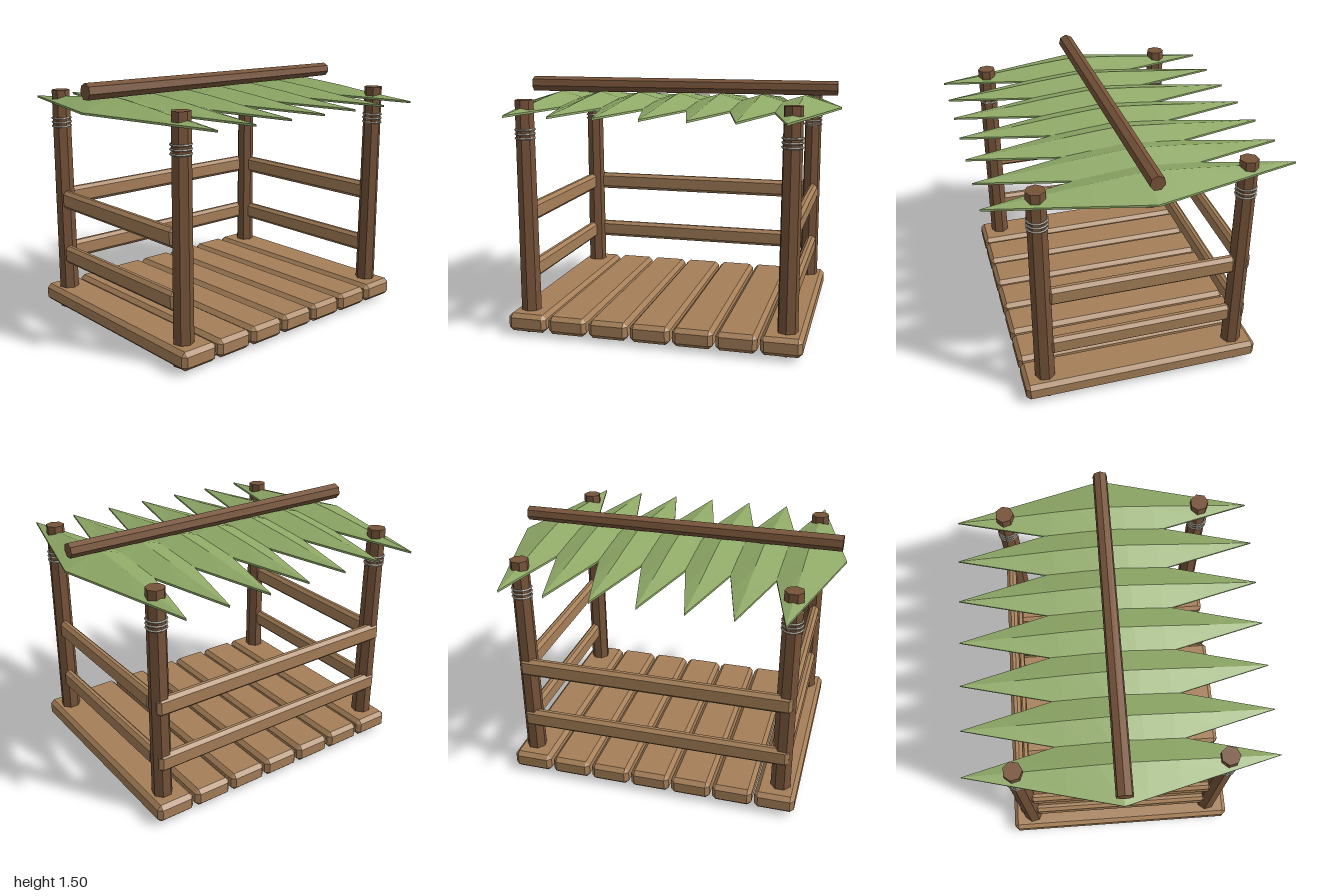
import * as THREE from 'three';
import { ConvexGeometry } from 'three/addons/geometries/ConvexGeometry.js';

const mat = (name, color) => {
  const m = new THREE.MeshStandardMaterial({ color, flatShading: true });
  m.name = name;
  return m;
};

// Box with every edge cut at 45 degrees
function chamferBox(w, h, d, b) {
  const pts = [];
  for (const x of [-w / 2, w / 2]) for (const y of [-h / 2, h / 2]) for (const z of [-d / 2, d / 2]) {
    const sx = Math.sign(x) * b, sy = Math.sign(y) * b, sz = Math.sign(z) * b;
    pts.push(new THREE.Vector3(x, y - sy, z - sz));
    pts.push(new THREE.Vector3(x - sx, y, z - sz));
    pts.push(new THREE.Vector3(x - sx, y - sy, z));
  }
  return new ConvexGeometry(pts);
}

// Creased, drooping diamond leaf with a thin closed body
function leafGeometry() {
  const half = [[0, 1.412], [0.15, 1.403], [0.35, 1.388], [0.65, 1.36], [1, 1.335]];
  const stations = [...half.slice(1).reverse().map(([t, y]) => [-t, y]), ...half];
  const thick = 0.012, pos = [], idx = [];
  // Each cross-section: top left, top crease, top right, bottom right, bottom crease, bottom left
  for (const [t, crease] of stations) {
    const a = Math.abs(t), w = 0.22 * (1 - a) + 0.0005, z = 0.87 * t;
    const edge = 1.345 - 0.01 * a;
    pos.push(-w, edge, z, 0, crease, z, w, edge, z);
    pos.push(w, edge - thick, z, 0, crease - thick, z, -w, edge - thick, z);
  }
  for (let i = 0; i < stations.length - 1; i++) for (let j = 0; j < 6; j++) {
    const a = i * 6 + j, b = i * 6 + (j + 1) % 6;
    idx.push(a, a + 6, b, b, a + 6, b + 6);
  }
  const g = new THREE.BufferGeometry();
  g.setAttribute('position', new THREE.Float32BufferAttribute(pos, 3));
  g.setIndex(idx);
  const flat = g.toNonIndexed();
  flat.computeVertexNormals();
  return flat;
}

export function createModel() {
  const model = new THREE.Group();
  model.name = 'shelter';
  const plankWood = mat('plankWood', 0xa57f58);
  const logWood = mat('logWood', 0x77543a);
  const leafGreen = mat('leafGreen', 0x8fa967);
  const ropeGrey = mat('ropeGrey', 0xb0ab9c);

  const add = (name, geo, material, x, y, z) => {
    const m = new THREE.Mesh(geo, material);
    m.name = name;
    m.position.set(x, y, z);
    model.add(m);
    return m;
  };

  // Floor planks
  const plank = chamferBox(0.238, 0.11, 1.43, 0.024);
  for (let i = -3; i <= 3; i++) add('floorPlank', plank, plankWood, i * 0.2535, 0.077, 0);

  // Corner posts with rope lashings
  const post = new THREE.CylinderGeometry(0.055, 0.061, 1.4, 7);
  const rope = new THREE.TorusGeometry(0.056, 0.0065, 5, 12).rotateX(Math.PI / 2);
  for (const x of [-0.78, 0.78]) for (const z of [-0.585, 0.585]) {
    add('cornerPost', post, logWood, x, 0.7, z);
    for (const y of [1.177, 1.202, 1.227]) add('ropeLashing', rope, ropeGrey, x, y, z);
  }

  // Side and back rails
  const sideRail = chamferBox(0.06, 0.112, 1.105, 0.02);
  const backRail = chamferBox(1.64, 0.112, 0.06, 0.02);
  for (const y of [0.357, 0.716]) {
    for (const s of [-1, 1]) add('sideRail', sideRail, plankWood, s * 0.795, y, 0);
    add('backRail', backRail, plankWood, 0, y, -0.617);
  }

  // Roof leaves
  const leaf = leafGeometry();
  for (let i = -3; i <= 3; i++) add('roofLeaf', leaf, leafGreen, i * 0.26, 0, 0);

  // Ridge log
  const ridge = new THREE.CylinderGeometry(0.044, 0.049, 1.945, 7, 1, false, -Math.PI / 2);
  add('ridgeLog', ridge, logWood, 0, 1.454, 0).rotation.z = -Math.PI / 2;

  return model;
}
